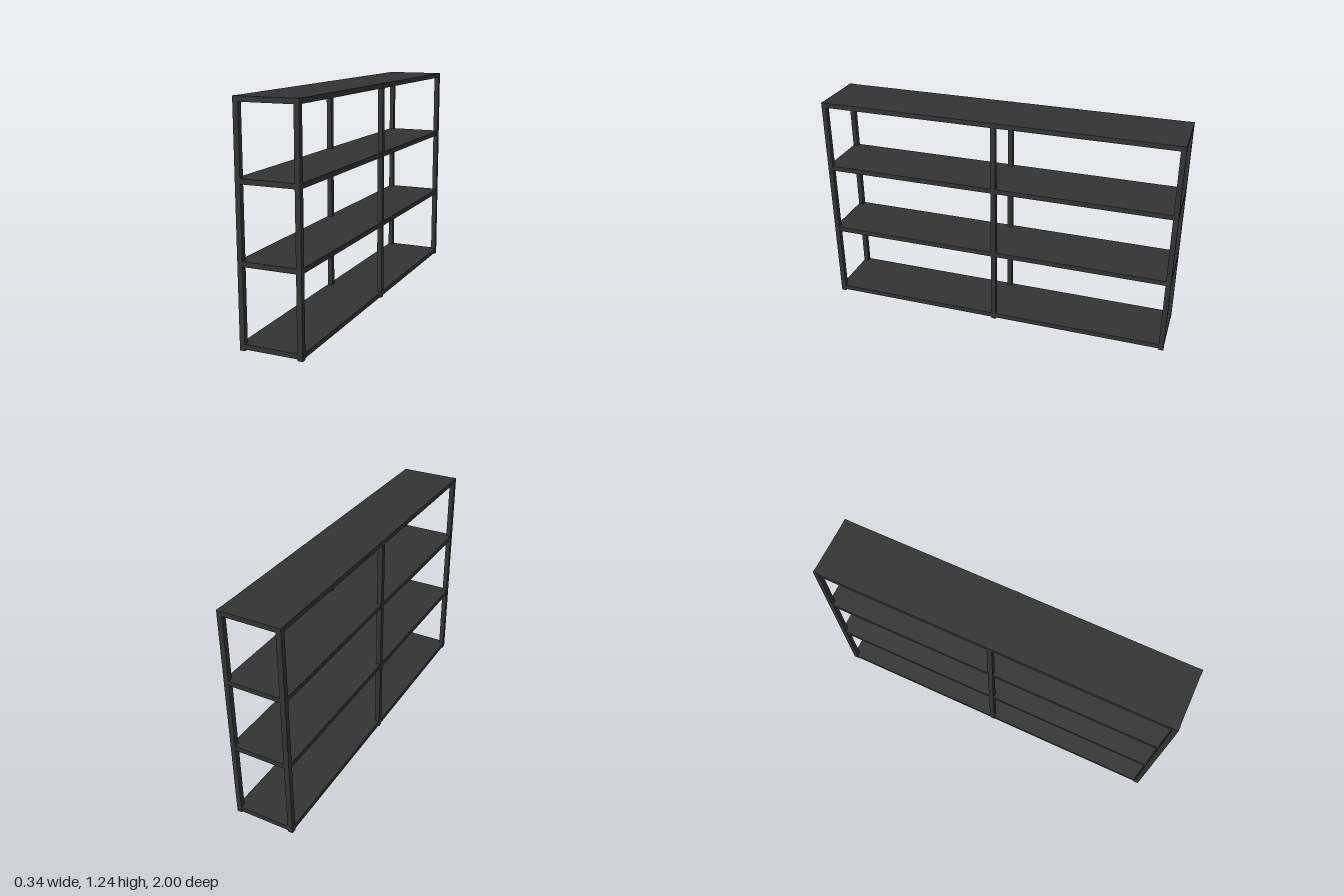
import * as THREE from 'three';

const WIDTH = 0.343, HEIGHT = 1.236, LENGTH = 2, BAR = 0.028;
const SHELF_TOPS = [0.036, 0.453, 0.853, HEIGHT];

export function createModel() {
  const model = new THREE.Group();
  model.name = 'shelvingUnit';
  const material = new THREE.MeshStandardMaterial({ color: 0x333333 });

  const addBox = (name, size, position) => {
    const mesh = new THREE.Mesh(new THREE.BoxGeometry(...size), material);
    mesh.name = name;
    mesh.position.set(...position);
    model.add(mesh);
  };

  // Upright posts: a pair at each end and one pair in the middle
  const postX = (WIDTH - BAR) / 2;
  const endZ = (LENGTH - BAR) / 2;
  for (const x of [-postX, postX]) {
    for (const z of [-endZ, 0, endZ]) {
      addBox('post', [BAR, HEIGHT, BAR], [x, HEIGHT / 2, z]);
    }
  }

  // Solid shelves, set in by a hair so the posts stay in front
  const inset = 0.002;
  for (const top of SHELF_TOPS) {
    addBox('shelf', [WIDTH - inset, BAR - 0.001, LENGTH - inset], [0, top - BAR / 2, 0]);
  }

  return model;
}
